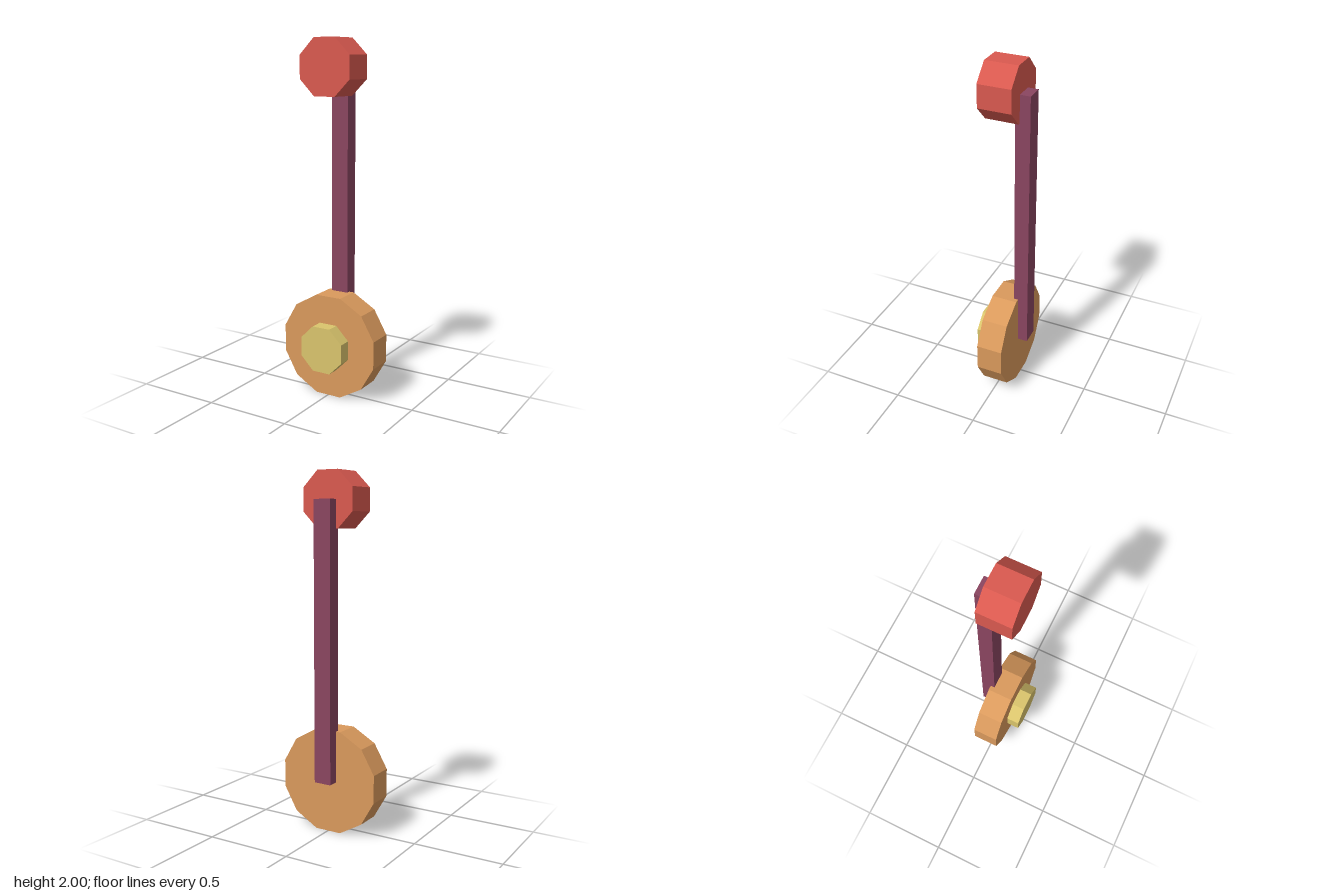
import * as THREE from 'three';

function material(name, color) {
  const m = new THREE.MeshStandardMaterial({ color, flatShading: true });
  m.name = name;
  return m;
}

// Low-poly disc facing +z, flat side up; apothem is centre to flat side
function disc(name, sides, apothem, y, zBack, zFront, mat) {
  const r = apothem / Math.cos(Math.PI / sides);
  const geo = new THREE.CylinderGeometry(r, r, zFront - zBack, sides, 1, false, Math.PI / sides);
  geo.rotateX(Math.PI / 2);
  const mesh = new THREE.Mesh(geo, mat);
  mesh.name = name;
  mesh.position.set(0, y, (zBack + zFront) / 2);
  return mesh;
}

export function createModel() {
  const red = material('red', 0xd9594f);
  const orange = material('orange', 0xd9995c);
  const yellow = material('yellow', 0xd9c46c);
  const purple = material('purple', 0x8a4560);

  const group = new THREE.Group();
  group.name = 'pendulum';

  const bobY = 0.293, pivotY = 1.846;

  // Rod runs behind the discs, from bob centre to pivot centre
  const rod = new THREE.Mesh(new THREE.BoxGeometry(0.102, pivotY - bobY, 0.083), purple);
  rod.name = 'rod';
  rod.position.set(0, (bobY + pivotY) / 2, -0.1015);

  group.add(
    rod,
    disc('pivot', 8, 0.154, pivotY, -0.085, 0.1, red),
    disc('bob', 12, 0.292, bobY, -0.085, 0.065, orange),
    disc('bobCentre', 8, 0.131, bobY, 0.06, 0.141, yellow),
  );
  return group;
}
